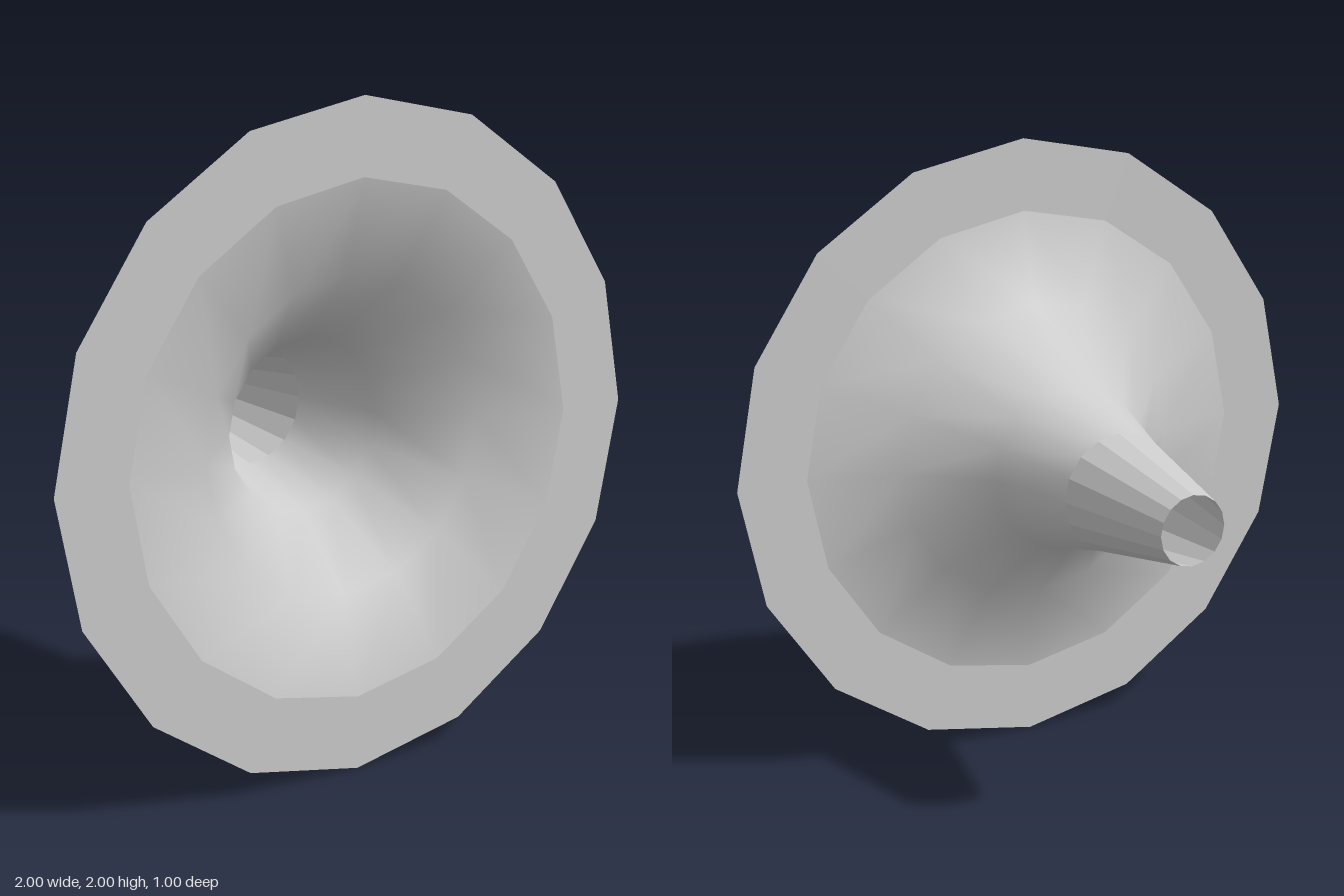
import * as THREE from 'three';

const SIDES = 16;

// Spins a [radius, z] profile around the z axis
function spin(profile) {
  const points = profile.map(([r, z]) => new THREE.Vector2(r, z));
  return new THREE.LatheGeometry(points, SIDES).rotateX(Math.PI / 2);
}

export function createModel() {
  const model = new THREE.Group();
  model.name = 'horn';

  const add = (name, geometry, flatShading) => {
    const material = new THREE.MeshStandardMaterial({
      color: 0xcccccc, side: THREE.DoubleSide, flatShading,
    });
    const mesh = new THREE.Mesh(geometry, material);
    mesh.name = name;
    mesh.position.y = 1;
    model.add(mesh);
  };

  // Narrow faceted tube, open at the back
  add('neck', spin([[0.108, -0.5], [0.188, -0.085]]), true);

  // Smooth flaring bell
  add('bell', spin([[0.188, -0.085], [0.265, 0.21], [0.483, 0.428], [0.772, 0.5]]), false);

  // Flat ring around the mouth
  add('rim', new THREE.RingGeometry(0.772, 1, SIDES).translate(0, 0, 0.5), true);

  return model;
}
